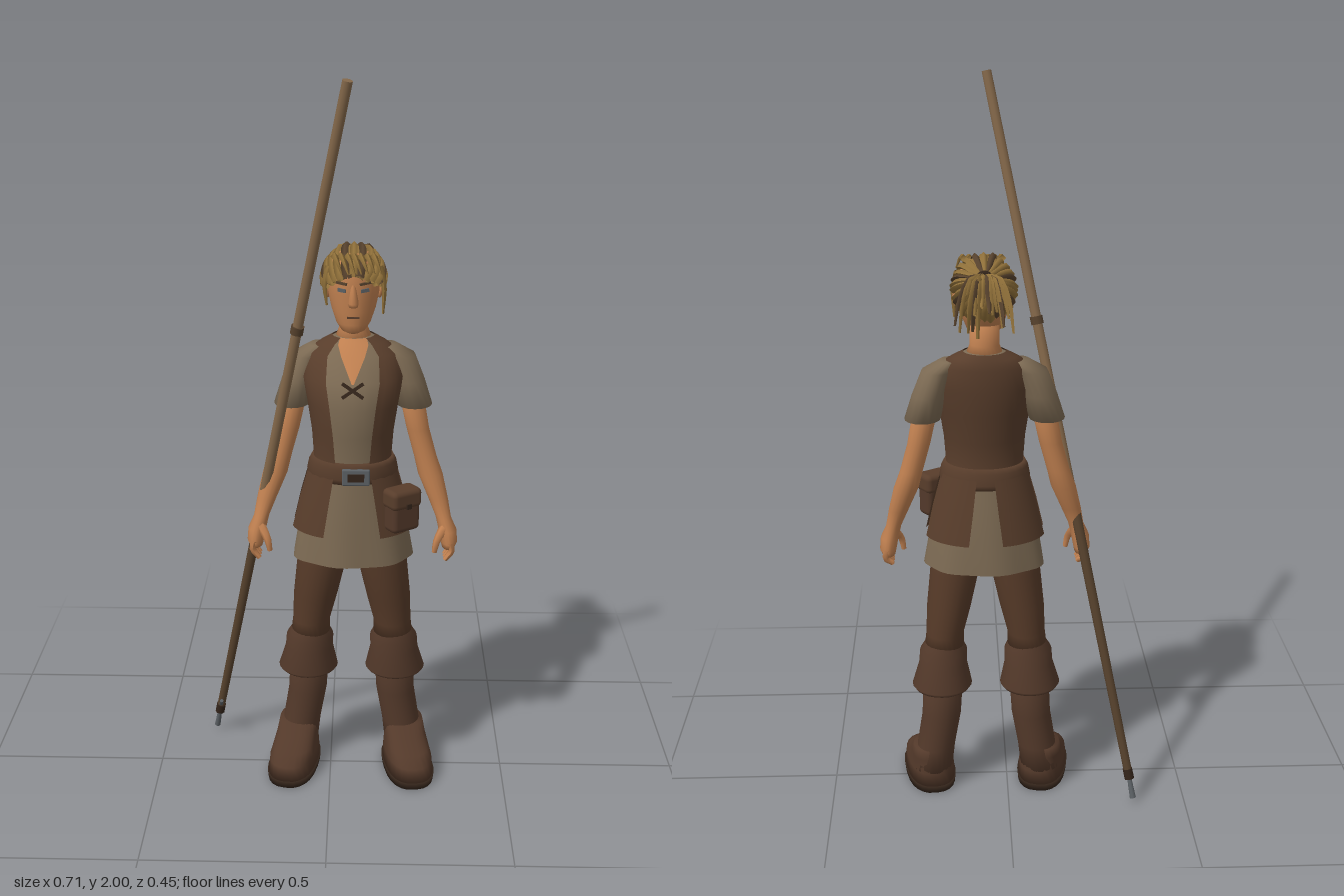
import * as THREE from 'three';
import { RoundedBoxGeometry } from 'three/addons/geometries/RoundedBoxGeometry.js';

const mat = (name, color) => new THREE.MeshStandardMaterial({ name, color, side: THREE.DoubleSide });
const V = (x, y, z) => new THREE.Vector3(x, y, z);

export function createModel() {
  const M = {
    skin: mat('skin', 0xc08050), shirt: mat('linen', 0x7c6a53), vest: mat('vestLeather', 0x583d2b),
    trousers: mat('trousers', 0x563a28), boots: mat('bootLeather', 0x53392a), hair: mat('hair', 0x91713a),
    wood: mat('paleWood', 0x84684a), darkWood: mat('darkWood', 0x57422d),
    metal: mat('metal', 0x5b6064), dark: mat('darkLeather', 0x33241a),
  };
  const root = new THREE.Group();
  root.name = 'staffBearer';
  const body = new THREE.Group();
  body.name = 'body';
  body.position.x = 0.06;
  root.add(body);

  const add = (name, geo, material, parent = body) => {
    const mesh = new THREE.Mesh(geo, material);
    mesh.name = name;
    parent.add(mesh);
    return mesh;
  };

  // Skin over horizontal elliptical rings [x, y, z, rx, rz], listed from top to bottom.
  // With arc {mid, half: [top, bottom]} only part of each ring is built.
  const loft = (name, rings, material, { arc, n = 24, cap = !arc, power = 1, wave = 0, parent = body } = {}) => {
    const pos = [], idx = [], cols = arc ? n + 1 : n;
    const pw = (v) => Math.sign(v) * Math.abs(v) ** power;
    rings.forEach(([x, y, z, rx, rz], i) => {
      const t = i / (rings.length - 1);
      const half = arc ? THREE.MathUtils.lerp(arc.half[0], arc.half[1], t) : Math.PI;
      const mid = arc ? arc.mid : 0;
      for (let j = 0; j < cols; j++) {
        const a = mid - half + (2 * half * j) / n;
        const k = 1 + wave * t * Math.cos(7 * a);
        pos.push(x + rx * k * pw(Math.cos(a)), y, z + rz * k * pw(Math.sin(a)));
      }
    });
    for (let i = 0; i < rings.length - 1; i++) for (let j = 0; j < n; j++) {
      const k = (j + 1) % cols, a = i * cols, b = a + cols;
      idx.push(a + j, a + k, b + j, a + k, b + k, b + j);
    }
    if (cap) [0, rings.length - 1].forEach((r, end) => {
      const c = pos.length / 3;
      pos.push(...rings[r].slice(0, 3));
      for (let j = 0; j < n; j++) {
        const p = r * cols + j, q = r * cols + ((j + 1) % cols);
        idx.push(c, end ? p : q, end ? q : p);
      }
    });
    const g = new THREE.BufferGeometry();
    g.setAttribute('position', new THREE.Float32BufferAttribute(pos, 3));
    g.setIndex(idx);
    g.computeVertexNormals();
    return add(name, g, material, parent);
  };

  // Tube whose radius runs from r0 to r1
  const taper = (name, pts, r0, r1, material, sides = 5, segs = 8) => {
    const curve = new THREE.CatmullRomCurve3(pts);
    const g = new THREE.TubeGeometry(curve, segs, 1, sides);
    const p = g.attributes.position, v = V(0, 0, 0);
    for (let i = 0; i < p.count; i++) {
      const t = Math.floor(i / (sides + 1)) / segs, c = curve.getPointAt(t);
      v.fromBufferAttribute(p, i).sub(c).multiplyScalar(r0 + (r1 - r0) * t).add(c);
      p.setXYZ(i, v.x, v.y, v.z);
    }
    g.computeVertexNormals();
    return add(name, g, material);
  };

  // Straight round rod between two points
  const rod = (name, a, b, r0, r1, material, parent = root) => {
    const m = add(name, new THREE.CylinderGeometry(r1, r0, a.distanceTo(b), 10), material, parent);
    m.position.copy(a).add(b).multiplyScalar(0.5);
    m.quaternion.setFromUnitVectors(V(0, 1, 0), b.clone().sub(a).normalize());
    return m;
  };
  const box = (name, size, at, rot, material, r = 0) => {
    const m = add(name, r ? new RoundedBoxGeometry(...size, 2, r) : new THREE.BoxGeometry(...size), material);
    m.position.set(...at);
    m.rotation.set(...rot);
    return m;
  };

  // Torso, vest and neckline
  const torso = [[0, 1.3, -0.048, 0.05, 0.045], [0, 1.285, -0.045, 0.08, 0.058], [0, 1.26, -0.035, 0.118, 0.074],
    [0, 1.2, -0.01, 0.13, 0.1], [0, 1.13, 0.005, 0.116, 0.103], [0, 1.05, 0.008, 0.104, 0.092],
    [0, 0.98, 0.01, 0.099, 0.084], [0, 0.93, 0.005, 0.11, 0.09]];
  const grow = (rings, d) => rings.map(([x, y, z, rx, rz]) => [x, y, z, rx + d, rz + d]);
  loft('shirt', torso, M.shirt);
  loft('vest', grow(torso, 0.007), M.vest, { arc: { mid: -Math.PI / 2, half: [2.5, 2.72] }, n: 36 });
  loft('openNeckline', grow(torso.slice(0, 4), 0.003), M.skin, { arc: { mid: Math.PI / 2, half: [0.75, 0.02] }, n: 8 });
  loft('neck', [[0, 1.37, -0.05, 0.04, 0.042], [0, 1.32, -0.052, 0.039, 0.04], [0, 1.28, -0.045, 0.055, 0.05]], M.skin);
  for (const s of [-1, 1]) box('lacing', [0.068, 0.009, 0.008], [0, 1.185, 0.098], [-0.25, 0, s * 0.6], M.dark);

  // Tunic skirt, belt, leather flaps and pouch
  loft('tunicSkirt', [[0, 0.96, 0.005, 0.108, 0.09], [0, 0.88, 0.003, 0.128, 0.1], [0, 0.78, 0, 0.15, 0.11],
    [0, 0.68, 0, 0.167, 0.115]], M.shirt, { cap: false, wave: 0.025, n: 42 });
  loft('belt', [[0, 0.978, 0.008, 0.112, 0.094], [0, 0.965, 0.008, 0.119, 0.1], [0, 0.935, 0.005, 0.125, 0.104],
    [0, 0.92, 0.005, 0.12, 0.1]], M.vest);
  box('buckle', [0.075, 0.046, 0.012], [0.01, 0.945, 0.108], [0, 0, 0], M.metal, 0.004);
  box('buckleCentre', [0.045, 0.022, 0.006], [0.01, 0.945, 0.113], [0, 0, 0], M.dark);
  for (const s of [-1, 1]) {
    const flap = [[0, 0.95, 0.004, 0.12, 0.102], [0, 0.86, 0.002, 0.146, 0.119], [0, 0.77, 0, 0.168, 0.13]];
    loft('frontFlap', flap, M.vest, { arc: { mid: Math.PI / 2 - s * 0.92, half: [0.5, 0.44] }, n: 8 });
    loft('backFlap', flap, M.vest, { arc: { mid: -Math.PI / 2 + s * 0.8, half: [0.6, 0.52] }, n: 8 });
  }
  const turn = [0, 0.6, 0];
  box('pouch', [0.09, 0.1, 0.055], [0.135, 0.84, 0.094], turn, M.boots, 0.015);
  box('pouchLid', [0.096, 0.055, 0.064], [0.135, 0.885, 0.095], turn, M.vest, 0.015);
  box('pouchButton', [0.014, 0.014, 0.008], [0.153, 0.868, 0.122], turn, M.dark);

  for (const s of [-1, 1]) {
    const side = (rings) => rings.map(([x, ...r]) => [s * x, ...r]);
    // Arms and hands
    loft('sleeve', side([[0.095, 1.275, -0.045, 0.025, 0.035], [0.125, 1.248, -0.045, 0.042, 0.055],
      [0.148, 1.18, -0.04, 0.046, 0.058], [0.167, 1.11, -0.035, 0.049, 0.056]]), M.shirt, { n: 16 });
    loft('arm', side([[0.16, 1.13, -0.035, 0.033, 0.037], [0.178, 1.04, -0.032, 0.031, 0.033],
      [0.2, 0.96, -0.03, 0.031, 0.032], [0.215, 0.91, -0.024, 0.034, 0.034], [0.238, 0.84, -0.012, 0.027, 0.027],
      [0.253, 0.79, 0, 0.021, 0.024], [0.265, 0.755, 0.003, 0.025, 0.036], [0.27, 0.72, 0.004, 0.023, 0.04],
      [0.268, 0.705, 0.004, 0.018, 0.036]]), M.skin, { n: 16 });
    for (let f = 0; f < 4; f++) {
      const z = 0.034 - f * 0.02, low = 0.675 + (f === 3 ? 0.012 : 0);
      taper('finger', [V(s * 0.272, 0.725, z), V(s * 0.276, 0.7, z), V(s * 0.258, low, z + 0.003)], 0.012, 0.007, M.skin, 6, 5);
    }
    taper('thumb', [V(s * 0.255, 0.765, 0.02), V(s * 0.235, 0.735, 0.042), V(s * 0.228, 0.7, 0.044)], 0.014, 0.007, M.skin, 6, 5);

    // Legs with flared knee cuffs
    loft('trouserLeg', side([[0.07, 0.78, 0, 0.07, 0.075], [0.085, 0.66, 0, 0.069, 0.077], [0.103, 0.55, -0.01, 0.062, 0.071],
      [0.115, 0.47, -0.014, 0.053, 0.063], [0.118, 0.42, -0.015, 0.056, 0.062]]), M.trousers);
    loft('kneeCuff', side([[0.118, 0.445, -0.015, 0.05, 0.06], [0.12, 0.415, -0.016, 0.067, 0.07], [0.122, 0.38, -0.02, 0.068, 0.073],
      [0.125, 0.315, -0.025, 0.085, 0.085], [0.125, 0.306, -0.027, 0.078, 0.079], [0.125, 0.33, -0.035, 0.055, 0.06]]),
      M.boots, { cap: false });

    // Boots, toes turned out
    loft('bootShaft', side([[0.122, 0.34, -0.042, 0.056, 0.06], [0.128, 0.23, -0.045, 0.055, 0.058],
      [0.145, 0.13, -0.046, 0.054, 0.058], [0.155, 0.06, -0.045, 0.056, 0.06]]), M.boots);
    const foot = new THREE.Group();
    foot.name = 'foot';
    foot.position.set(s * 0.166, 0, 0.02);
    foot.rotation.y = s * 0.17;
    body.add(foot);
    loft('shoe', [[0, 0.13, -0.065, 0.054, 0.055], [0, 0.1, -0.052, 0.058, 0.069], [0, 0.078, -0.022, 0.061, 0.1],
      [0, 0.058, -0.004, 0.065, 0.122], [0, 0.018, 0, 0.068, 0.128]], M.boots, { power: 0.8, parent: foot });
    loft('sole', [[0, 0.02, 0, 0.071, 0.13], [0, 0, 0, 0.069, 0.128]], M.dark, { power: 0.8, parent: foot });

    // Eyes, brows and ears
    box('eye', [0.022, 0.009, 0.006], [s * 0.03, 1.445, 0.052], [0, s * 0.4, s * 0.1], M.metal);
    box('brow', [0.03, 0.006, 0.007], [s * 0.031, 1.464, 0.053], [0, s * 0.4, s * 0.12], M.darkWood);
    const ear = add('ear', new THREE.SphereGeometry(0.02, 10, 8), M.skin);
    ear.scale.set(0.45, 1.3, 0.8);
    ear.position.set(s * 0.073, 1.432, -0.028);
    ear.rotation.z = -s * 0.2;
  }

  // Head
  loft('head', [[0, 1.535, -0.03, 0.04, 0.05], [0, 1.515, -0.028, 0.062, 0.076], [0, 1.475, -0.027, 0.072, 0.086],
    [0, 1.43, -0.024, 0.069, 0.083], [0, 1.385, -0.014, 0.059, 0.069], [0, 1.35, 0, 0.046, 0.053],
    [0, 1.33, 0.012, 0.031, 0.034], [0, 1.323, 0.014, 0.016, 0.02]], M.skin);
  loft('nose', [[0, 1.46, 0.05, 0.007, 0.01], [0, 1.412, 0.058, 0.014, 0.018], [0, 1.4, 0.052, 0.012, 0.012]], M.skin, { n: 10 });
  box('mouth', [0.032, 0.005, 0.006], [0, 1.372, 0.0535], [0, 0, 0], M.vest);

  // Hair cap with locks combed back to a knot
  const centre = V(0, 1.464, -0.03), radii = V(0.077, 0.083, 0.097), tilt = -0.55;
  const cap = new THREE.SphereGeometry(1, 24, 14, 0, Math.PI * 2, 0, Math.PI * 0.6);
  cap.rotateX(tilt).scale(radii.x, radii.y, radii.z).translate(centre.x, centre.y, centre.z);
  add('hairCap', cap, M.hair);
  let seed = 7;
  const rnd = () => (seed = (seed * 16807) % 2147483647) / 2147483647;
  const knotDir = V(0, 0.45, -0.89), knot = V(0, 1.505, -0.122);
  for (let i = 0; i < 30; i++) {
    const a = (i / 30) * Math.PI * 2, th = Math.PI * (0.58 + 0.06 * rnd());
    const start = V(Math.sin(th) * Math.sin(a), Math.cos(th), Math.sin(th) * Math.cos(a)).applyAxisAngle(V(1, 0, 0), tilt);
    const pts = [0, 0.25, 0.5, 0.75, 1].map((t) =>
      start.clone().lerp(knotDir, t).normalize().multiply(radii).multiplyScalar(1.0 + 0.05 * rnd()).add(centre));
    taper('hairLock', pts, 0.012, 0.007, i % 4 === 1 ? M.darkWood : M.hair, 4, 9);
  }
  const ring = add('hairTie', new THREE.TorusGeometry(0.017, 0.008, 6, 12), M.dark);
  ring.position.copy(knot);
  for (let i = 0; i < 15; i++) {
    const x = -0.075 + (i * 0.15) / 14 + 0.01 * rnd();
    const tip = V(x, 1.37 + 0.09 * rnd(), -0.165 - 0.055 * rnd());
    taper('ponytailLock', [knot, V(x * 0.5, 1.515, -0.155), V(x * 0.85, 1.465, -0.18), tip], 0.013, 0.004,
      i % 4 === 2 ? M.darkWood : M.hair, 4, 7);
  }
  // Loose fringe and side strands
  for (let i = 0; i < 7; i++) {
    const x = -0.05 + i * 0.017;
    taper('fringe', [V(x, 1.53, 0.03), V(x + 0.008, 1.525, 0.068), V(x + 0.02, 1.495, 0.075 + 0.016 * rnd())], 0.011, 0.002, M.hair, 4, 5);
  }
  taper('sideStrand', [V(0.068, 1.5, 0.01), V(0.08, 1.45, 0.02), V(0.078, 1.375, 0.02)], 0.01, 0.003, M.hair, 4, 6);
  taper('sideStrand', [V(-0.066, 1.5, 0.015), V(-0.076, 1.46, 0.03), V(-0.07, 1.4, 0.03)], 0.009, 0.003, M.hair, 4, 6);

  // Walking staff with collar and metal tip
  const top = V(0.045, 1.996, 0.213), foot = V(-0.342, 0.075, -0.162);
  const at = (t) => foot.clone().lerp(top, t);
  rod('staffLower', foot, at(0.4), 0.012, 0.0145, M.darkWood);
  rod('staffUpper', at(0.4), top, 0.0145, 0.0135, M.wood);
  rod('staffCollar', at(0.657), at(0.668), 0.018, 0.018, M.darkWood);
  rod('staffFerrule', at(-0.003), at(0.012), 0.014, 0.014, M.dark);
  rod('staffTip', V(-0.353, 0.015, -0.177), foot, 0.009, 0.006, M.metal);
  rod('staffSpur', at(0.01), V(-0.331, 0.138, -0.104), 0.006, 0.005, M.metal);
  return root;
}
